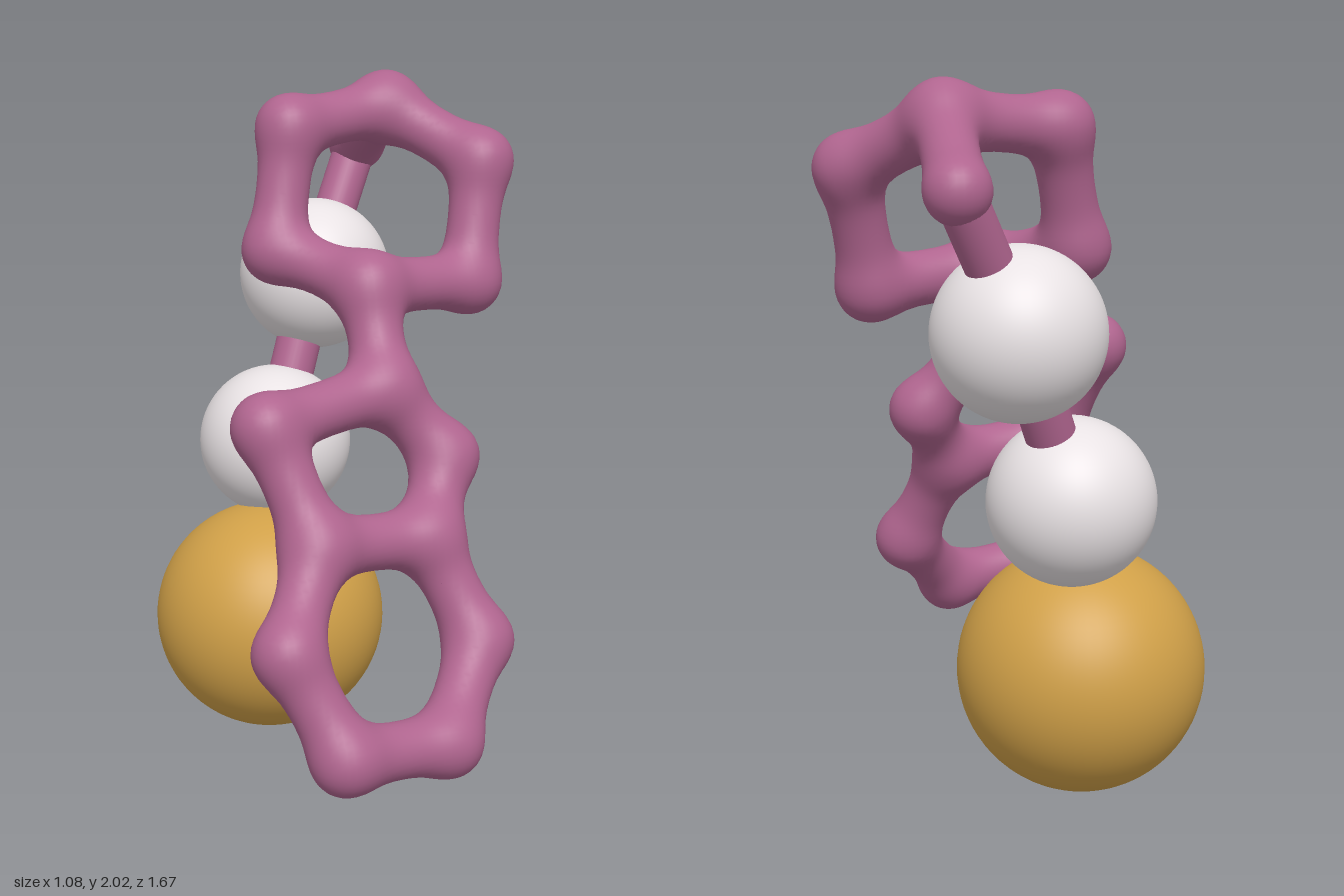
import * as THREE from 'three';

const material = (color) => new THREE.MeshStandardMaterial({ color });
const PINK = material(0xb0658f);
const WHITE = material(0xe8e2e4);
const GOLD = material(0xd0a048);

const v = (x, y, z) => new THREE.Vector3(x, y, z);

// Joints of the frame: lower six-ring, five-ring, link, upper six-ring, arm
const JOINTS = [
  v(-0.32, 0.36, 0.745), v(0.0, 0.325, 0.67), v(0.17, 0.53, 0.485),
  v(0.06, 0.81, 0.365), v(-0.295, 0.85, 0.45), v(-0.44, 0.63, 0.63),
  v(0.165, 1.0, 0.235), v(0.0, 1.2, 0.18), v(-0.39, 1.16, 0.315),
  v(0.01, 1.46, 0.03), v(0.37, 1.43, -0.085), v(0.44, 1.77, -0.17),
  v(0.22, 1.915, -0.38), v(-0.12, 1.88, -0.275), v(-0.19, 1.54, -0.2),
  v(0.25, 1.76, -0.71),
];
const BONDS = [
  [0, 1], [1, 2], [2, 3], [3, 4], [4, 5], [5, 0],
  [3, 6], [6, 7], [7, 8], [8, 4],
  [7, 9],
  [9, 10], [10, 11], [11, 12], [12, 13], [13, 14], [14, 9],
  [12, 15],
].map(([i, j]) => {
  const a = JOINTS[i], d = JOINTS[j].clone().sub(a);
  return { a, d, inv: 1 / d.lengthSq() };
});

const BOND_RADIUS = 0.077, JOINT_RADIUS = 0.066, BLEND = 0.025;

// Smoothly blended distance to all rods and joint balls (negative inside)
function field(x, y, z) {
  let sum = 1e-30;
  for (const { a, d, inv } of BONDS) {
    const px = x - a.x, py = y - a.y, pz = z - a.z;
    const t = Math.min(1, Math.max(0, (px * d.x + py * d.y + pz * d.z) * inv));
    const dist = Math.hypot(px - t * d.x, py - t * d.y, pz - t * d.z);
    sum += Math.exp((BOND_RADIUS - dist) / BLEND);
  }
  for (const j of JOINTS) {
    sum += Math.exp((JOINT_RADIUS - Math.hypot(x - j.x, y - j.y, z - j.z)) / BLEND);
  }
  return -BLEND * Math.log(sum);
}

function gradient(p) {
  const e = 0.001;
  return v(
    field(p.x + e, p.y, p.z) - field(p.x - e, p.y, p.z),
    field(p.x, p.y + e, p.z) - field(p.x, p.y - e, p.z),
    field(p.x, p.y, p.z + e) - field(p.x, p.y, p.z - e),
  ).divideScalar(2 * e);
}

// Skin the field: one vertex per crossed cell, one quad per crossed grid edge
function blendedGeometry(min, max, cell) {
  const size = max.clone().sub(min).divideScalar(cell).ceil().toArray();
  const [nx, ny, nz] = size;
  const step = [1, nx, nx * ny];
  const values = new Float32Array(nx * ny * nz);
  for (let k = 0, n = 0; k < nz; k++)
    for (let j = 0; j < ny; j++)
      for (let i = 0; i < nx; i++)
        values[n++] = field(min.x + i * cell, min.y + j * cell, min.z + k * cell);

  const positions = [], normals = [], index = [], ids = new Map();
  const vertex = (n) => {
    if (!ids.has(n)) {
      const p = v(n % nx, Math.floor(n / nx) % ny, Math.floor(n / step[2]))
        .addScalar(0.5).multiplyScalar(cell).add(min);
      // Pull the cell centre onto the surface
      for (let s = 0; s < 4; s++) {
        const g = gradient(p);
        p.addScaledVector(g, -field(p.x, p.y, p.z) / Math.max(g.lengthSq(), 0.2));
      }
      ids.set(n, positions.length / 3);
      positions.push(...p.toArray());
      normals.push(...gradient(p).normalize().toArray());
    }
    return ids.get(n);
  };

  for (let k = 1; k < nz - 1; k++)
    for (let j = 1; j < ny - 1; j++)
      for (let i = 1; i < nx - 1; i++) {
        const n = i + j * nx + k * step[2];
        for (let axis = 0; axis < 3; axis++) {
          const inside = values[n] < 0;
          if (inside === values[n + step[axis]] < 0) continue;
          const b = step[(axis + 1) % 3], c = step[(axis + 2) % 3];
          const quad = [n, n - b, n - b - c, n - c].map(vertex);
          if (!inside) quad.reverse();
          index.push(quad[0], quad[1], quad[2], quad[0], quad[2], quad[3]);
        }
      }

  const geometry = new THREE.BufferGeometry();
  geometry.setAttribute('position', new THREE.Float32BufferAttribute(positions, 3));
  geometry.setAttribute('normal', new THREE.Float32BufferAttribute(normals, 3));
  geometry.setIndex(index);
  return geometry;
}

export function createModel() {
  const model = new THREE.Group();
  model.name = 'ringChainModel';

  const add = (name, geometry, mat) => {
    const mesh = new THREE.Mesh(geometry, mat);
    mesh.name = name;
    model.add(mesh);
    return mesh;
  };
  const ball = (name, centre, radius, mat) =>
    add(name, new THREE.SphereGeometry(radius, 64, 40), mat).position.copy(centre);
  const rod = (name, from, to, radius) => {
    const d = to.clone().sub(from);
    const mesh = add(name, new THREE.CylinderGeometry(radius, radius, d.length(), 32), PINK);
    mesh.position.copy(from).addScaledVector(d, 0.5);
    mesh.quaternion.setFromUnitVectors(v(0, 1, 0), d.normalize());
  };

  // Fused rings with the arm reaching backwards
  add('ringFrame', blendedGeometry(v(-0.64, 0.14, -0.9), v(0.64, 2.1, 0.94), 0.02), PINK);

  // Hanging chain of balls
  const base = v(-0.18, 0.355, -0.337);
  const lower = v(-0.115, 0.88, -0.463);
  const upper = v(0.065, 1.373, -0.593);
  ball('baseBall', base, 0.353, GOLD);
  ball('lowerBall', lower, 0.235, WHITE);
  ball('upperBall', upper, 0.235, WHITE);

  // Connecting rods
  rod('lowerRod', base, lower, 0.07);
  rod('middleRod', lower, upper, 0.07);
  rod('upperRod', upper, JOINTS[15], 0.066);

  return model;
}
